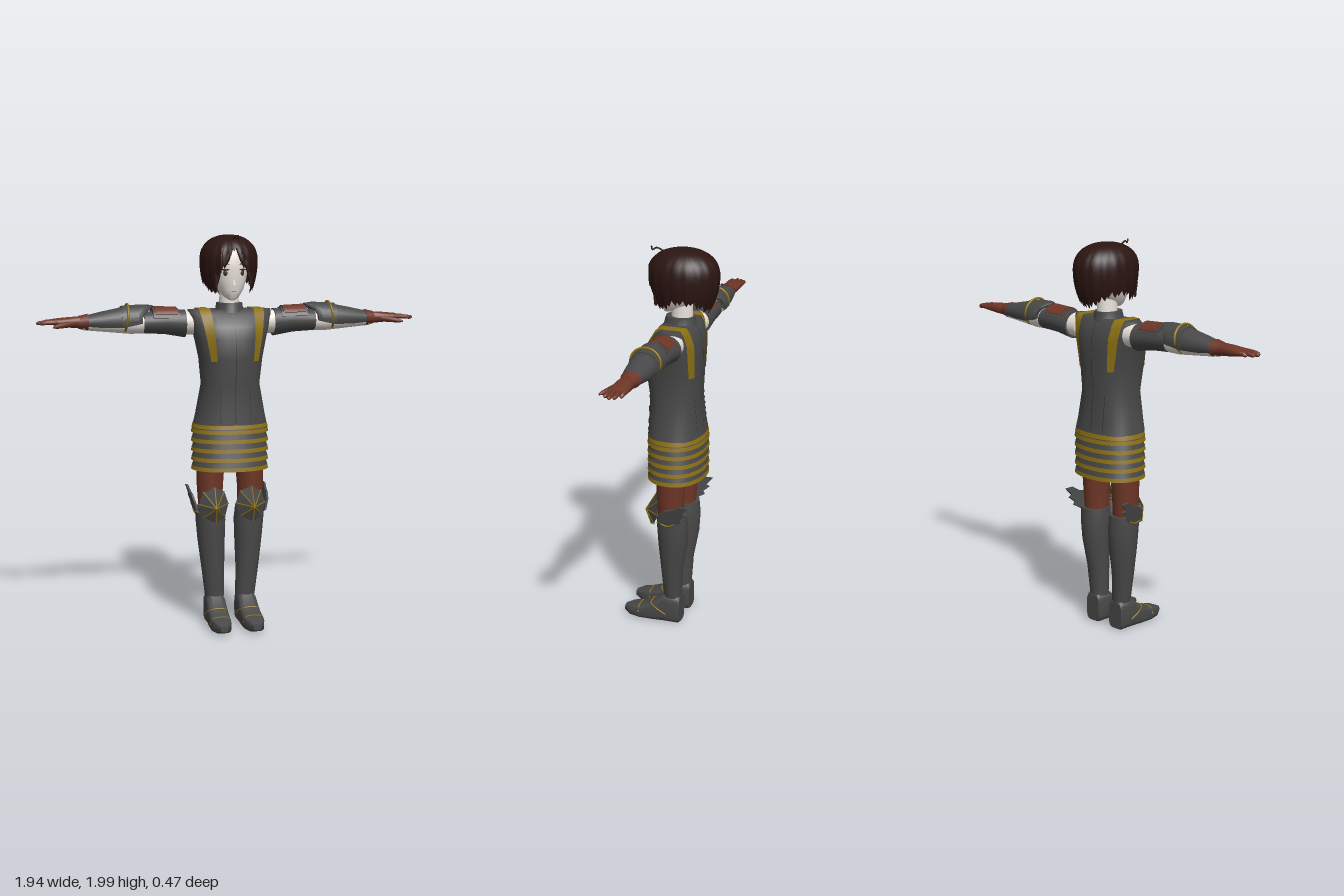
import * as THREE from 'three';
import { toCreasedNormals } from 'three/addons/utils/BufferGeometryUtils.js';

const mat = (color) => new THREE.MeshStandardMaterial({ color, side: THREE.DoubleSide });
const ARMOUR = mat(0x484848), SEAM = mat(0x2c2c2c), GOLD = mat(0x8c7012), LEATHER = mat(0x6e3627);
const SKIN = mat(0xe9e2da), HAIR = mat(0x2b1511), EYE = mat(0x4a2c24), LIP = mat(0xb08a80);
const V = (x, y, z) => new THREE.Vector3(x, y, z);
const rad = THREE.MathUtils.degToRad;

function mesh(name, geometry, material) {
  const m = new THREE.Mesh(geometry, material);
  m.name = name;
  return m;
}

// Skin a list of closed point rings, with optional end caps
function skin(rings, cap = true, crease = 0.7) {
  const n = rings[0].length, pos = [], idx = [];
  rings.forEach((r) => r.forEach((p) => pos.push(p.x, p.y, p.z)));
  for (let k = 0; k < rings.length - 1; k++) for (let i = 0; i < n; i++) {
    const a = k * n + i, b = k * n + (i + 1) % n;
    idx.push(a, a + n, b, b, a + n, b + n);
  }
  if (cap) [0, rings.length - 1].forEach((k) => {
    const c = rings[k].reduce((s, p) => s.add(p), V(0, 0, 0)).divideScalar(n), o = pos.length / 3;
    pos.push(c.x, c.y, c.z);
    for (let i = 0; i < n; i++) {
      const a = k * n + i, b = k * n + (i + 1) % n;
      idx.push(o, k ? b : a, k ? a : b);
    }
  });
  const g = new THREE.BufferGeometry();
  g.setAttribute('position', new THREE.Float32BufferAttribute(pos, 3));
  g.setIndex(idx);
  return toCreasedNormals(g, crease);
}

const place = { // (distance along axis, cosine side, sine side)
  y: (u, c, s) => V(c, u, s), x: (u, c, s) => V(u, s, c), z: (u, c, s) => V(s, c, u),
};
const pw = (v, n) => Math.sign(v) * Math.abs(v) ** (2 / n);

// Sections are [along, centre1, radius1, centre2, radius2]; y: x,z  x: z,y  z: y,x
function loft(axis, sections, { n = 2, seg = 24, cap = true } = {}) {
  return skin(sections.map(([u, c1, r1, c2, r2]) => Array.from({ length: seg }, (_, i) => {
    const t = i / seg * Math.PI * 2;
    return place[axis](u, c1 + r1 * pw(Math.cos(t), n), c2 + r2 * pw(Math.sin(t), n));
  })), cap);
}

// Curved plate over the top of an arm; sixth section value is its half angle in degrees
function plate(sections, thick = 0.008, seg = 14) {
  return skin(sections.map(([u, cz, rz, cy, ry, half]) => {
    const arc = (d) => Array.from({ length: seg + 1 }, (_, i) => {
      const t = rad(90 - half + 2 * half * i / seg);
      return V(u, cy + (ry - d) * Math.sin(t), cz + (rz - d) * Math.cos(t));
    });
    return [...arc(0), ...arc(thick).reverse()];
  }));
}

// Depth of a y-loft at a given height and x
function depth(sections, y, x, side, n) {
  let k = sections.findIndex((s) => s[0] >= y);
  k = k < 0 ? sections.length - 1 : Math.max(k, 1);
  const a = sections[k - 1], b = sections[k], f = (y - a[0]) / (b[0] - a[0]);
  const [, cx, rx, cz, rz] = a.map((v, i) => v + (b[i] - v) * f);
  return cz + side * rz * Math.max(0, 1 - Math.abs((x - cx) / rx) ** n) ** (1 / n);
}

// Thin band from pairs of edge points
function ribbon(pairs) {
  const pos = pairs.flatMap(([a, b]) => [...a.toArray(), ...b.toArray()]), idx = [];
  for (let i = 0; i < pairs.length - 1; i++) idx.push(2 * i, 2 * i + 1, 2 * i + 2, 2 * i + 1, 2 * i + 3, 2 * i + 2);
  const g = new THREE.BufferGeometry();
  g.setAttribute('position', new THREE.Float32BufferAttribute(pos, 3));
  g.setIndex(idx);
  g.computeVertexNormals();
  return g;
}

const tube = (points, r, seg = 16) => new THREE.TubeGeometry(new THREE.CatmullRomCurve3(points), seg, r, 6);

// Reflect a group across x = 0, keeping faces outward
function mirrored(group, name) {
  const out = new THREE.Group();
  out.name = name;
  group.children.forEach((m) => {
    const g = m.geometry.index ? m.geometry.toNonIndexed() : m.geometry.clone();
    g.scale(-1, 1, 1);
    for (const a of [g.attributes.position, g.attributes.normal]) for (let i = 0; i < a.count; i += 3) {
      const p = [a.getX(i + 1), a.getY(i + 1), a.getZ(i + 1)];
      a.setXYZ(i + 1, a.getX(i + 2), a.getY(i + 2), a.getZ(i + 2));
      a.setXYZ(i + 2, ...p);
    }
    out.add(mesh(m.name, g, m.material));
  });
  return out;
}

function makeBody() {
  const g = new THREE.Group();
  g.name = 'body';
  const torso = [[1.05, 0, .186, -.025, .14], [1.1, 0, .175, -.022, .134], [1.25, 0, .147, -.018, .127],
    [1.38, 0, .16, -.012, .139], [1.48, 0, .181, -.016, .136], [1.54, 0, .198, -.024, .124],
    [1.6, 0, .215, -.033, .092], [1.622, 0, .212, -.04, .065]];
  g.add(mesh('tunic', loft('y', torso, { n: 2.4, seg: 36 }), ARMOUR));
  g.add(mesh('collar', loft('y', [[1.59, 0, .085, -.035, .09], [1.62, 0, .07, -.035, .08], [1.655, 0, .065, -.037, .073]]), ARMOUR));
  g.add(mesh('neck', loft('y', [[1.6, 0, .05, -.045, .055], [1.76, 0, .045, -.045, .052]]), SKIN));

  // Gold straps run from the chest over each shoulder to the back
  for (const s of [1, -1]) {
    const pairs = [];
    const row = (y, side) => {
      const f = (y - 1.37) / 0.25, xi = .092 + .018 * f, xo = .12 + .045 * f;
      pairs.push([xi, xo].map((x) => V(s * x, y + (y > 1.61 ? .006 : 0), depth(torso, y, x, side, 2.4) + side * .005)));
    };
    const ys = [1.37, 1.42, 1.48, 1.51, 1.54, 1.57, 1.6, 1.622];
    ys.forEach((y) => row(y, 1));
    [...ys].reverse().forEach((y) => row(y, -1));
    g.add(mesh('shoulderStrap', ribbon(pairs), GOLD));
  }
  for (const side of [1, -1]) for (const x of [-.075, 0, .075]) {
    const pairs = [1.06, 1.1, 1.25, 1.38, 1.48, 1.54, 1.6].filter((y) => !x || y < 1.35)
      .map((y) => [-.0015, .0015].map((d) => V(x + d, y, depth(torso, y, x, side, 2.4) + side * .002)));
    g.add(mesh('seam', ribbon(pairs), SEAM));
  }

  // Layered skirt, each tier edged in gold
  const band = (y0, y1, r0, r1) => loft('y', [[y0, 0, r0, -.027, r0 * .75], [y1, 0, r1, -.027, r1 * .75]], { n: 2.2, seg: 36, cap: false });
  g.add(mesh('skirtBelt', band(1.03, 1.052, .194, .188), GOLD));
  for (let i = 0; i < 5; i++) {
    const y = .815 + i * .0475;
    g.add(mesh('skirtTier', band(y + .018, y + .058, .193, .181), ARMOUR));
    g.add(mesh('skirtTrim', band(y, y + .02, .197, .193), GOLD));
  }
  return g;
}

function makeHead() {
  const g = new THREE.Group();
  g.name = 'head';
  const face = [[1.67, 0, .014, .03, .016], [1.685, 0, .036, .01, .046], [1.72, 0, .062, -.012, .08], [1.77, 0, .08, -.025, .1],
    [1.83, 0, .092, -.035, .118], [1.9, 0, .095, -.04, .118], [1.96, 0, .06, -.045, .08]];
  g.add(mesh('face', loft('y', face, { n: 2.2, seg: 32 }), SKIN));
  const spot = (name, x, y, w, h, m) => {
    const e = mesh(name, new THREE.SphereGeometry(1, 14, 10), m);
    e.scale.set(w, h, .005);
    e.position.set(x, y, depth(face, y, x, 1, 2.2));
    e.rotation.y = x * 9;
    g.add(e);
  };
  for (const s of [1, -1]) {
    spot('iris', s * .043, 1.807, .011, .015, EYE);
    spot('eyelash', s * .044, 1.823, .02, .004, HAIR);
    spot('eyebrow', s * .044, 1.85, .02, .003, HAIR);
  }
  spot('mouth', 0, 1.715, .014, .003, LIP);
  const nose = mesh('nose', new THREE.ConeGeometry(.009, .035, 6), SKIN);
  nose.position.set(0, 1.765, depth(face, 1.765, 0, 1, 2.2));
  g.add(nose);

  // Hair cap: rings drop from the crown to a jagged hem that parts over the face
  const hem = [[0, 1.91], [.15, 1.9], [.42, 1.84], [.62, 1.78], [.78, 1.7], [1.1, 1.7], [1.5, 1.74], [2.1, 1.735], [2.7, 1.69], [3.15, 1.675]];
  const hemAt = (a) => {
    const k = Math.max(1, hem.findIndex((h) => h[0] >= a)), [p, q] = [hem[k - 1], hem[k]];
    return p[1] + (q[1] - p[1]) * (a - p[0]) / (q[0] - p[0]);
  };
  const N = 108, rows = 16, rings = [];
  for (let k = rows; k >= 0; k--) rings.push(Array.from({ length: N }, (_, i) => {
    const t = Math.PI / 2 - i / N * Math.PI * 2, a = Math.abs(Math.atan2(Math.sin(t), Math.cos(t)));
    const v = k / rows, jag = [0, .012, .03, .016, .006, .02][i % 6];
    const bottom = hemAt(a) + jag, y = bottom + (1.993 - bottom) * Math.cos(v * Math.PI / 2);
    const d = y - 1.865;
    let r = d > 0 ? (1 - Math.min(1, d / .128) ** 2.3) ** (1 / 2.2) : 1 - .3 * (d / .19) ** 2;
    r *= 1 + .016 * Math.cos(i / 6 * Math.PI * 2) * v;
    return V(.143 * r * Math.sin(t), y, -.053 + .178 * r * Math.cos(t));
  }));
  g.add(mesh('hair', skin(rings, false, .5), HAIR));

  // Loose fringe locks and a small stray curl
  for (const s of [1, -1]) for (const [x0, x1, y1, w] of [[.02, .05, 1.83, .016], [.045, .075, 1.8, .018], [.07, .09, 1.72, .018]]) {
    const lock = [0, .3, .6, .85, 1].map((f) => [y1 + (1.95 - y1) * f, s * (x1 + (x0 - x1) * f), .001 + w * Math.sin(Math.min(f * 2, 1) * 1.5),
      .1 - x1 * .45 + .02 * Math.sin(f * 3) - .025 * f, .008]);
    g.add(mesh('fringeLock', loft('y', lock, { seg: 8 }), HAIR));
  }
  g.add(mesh('strayCurl', tube([V(0, 1.97, .05), V(.005, 1.985, .085), V(.01, 1.975, .105), V(.012, 1.993, .11)], .004), HAIR));
  return g;
}

function makeArm() {
  const g = new THREE.Group();
  g.name = 'leftArm';
  const add = (name, geo, m) => g.add(mesh(name, geo, m));
  add('arm', loft('x', [[.17, -.045, .066, 1.556, .062], [.4, -.045, .058, 1.557, .05], [.5, -.045, .058, 1.56, .055], [.74, -.045, .038, 1.56, .032]]), SKIN);
  add('sleeve', loft('x', [[.228, -.045, .074, 1.553, .07], [.33, -.045, .068, 1.561, .06], [.44, -.045, .064, 1.56, .053]]), ARMOUR);
  add('shoulderPlateBacking', plate([[.262, -.045, .07, 1.565, .064, 72], [.395, -.045, .072, 1.565, .072, 72]], .015), ARMOUR);
  add('shoulderPlate', plate([[.272, -.045, .073, 1.567, .07, 58], [.385, -.045, .076, 1.567, .075, 58]], .012), LEATHER);
  add('elbowGuard', plate([[.39, -.045, .068, 1.57, .076, 6], [.43, -.045, .078, 1.57, .081, 55], [.47, -.045, .08, 1.57, .08, 100], [.55, -.045, .074, 1.572, .073, 110]]), ARMOUR);
  add('forearmGuard', plate([[.45, -.045, .074, 1.572, .07, 100], [.54, -.045, .071, 1.572, .068, 118], [.64, -.045, .061, 1.568, .052, 122], [.73, -.045, .046, 1.566, .034, 122]]), ARMOUR);
  const ring = new THREE.TorusGeometry(.073, .006, 8, 28).rotateY(Math.PI / 2).scale(1, .95, 1.02).rotateZ(.12);
  add('armRing', ring.translate(.525, 1.585, -.045), GOLD);
  // Gloved hand
  add('gloveCuff', loft('x', [[.715, -.045, .05, 1.567, .042], [.76, -.045, .038, 1.567, .032]], { seg: 16 }), LEATHER);
  add('palm', loft('x', [[.75, -.045, .036, 1.567, .03], [.81, -.045, .043, 1.568, .026], [.88, -.047, .046, 1.57, .017], [.895, -.047, .04, 1.57, .01]], { n: 2.5, seg: 16 }), LEATHER);
  [[-.081, .935], [-.058, .962], [-.035, .97], [-.012, .955]].forEach(([z, tip]) => {
    add('finger', loft('x', [[.865, z, .012, 1.571, .013], [.92, z, .011, 1.57, .011], [tip - .008, z, .009, 1.566, .009], [tip, z, .003, 1.565, .003]], { seg: 10 }), LEATHER);
  });
  add('thumb', loft('x', [[.785, -.022, .016, 1.562, .016], [.83, .004, .015, 1.558, .014], [.875, .026, .011, 1.553, .011], [.895, .036, .004, 1.55, .004]], { seg: 10 }), LEATHER);
  return g;
}

function makeLeg() {
  const g = new THREE.Group();
  g.name = 'leftLeg';
  const add = (name, geo, m) => g.add(mesh(name, geo, m));
  add('thigh', loft('y', [[.55, .1, .058, -.02, .062], [.72, .105, .066, -.02, .07], [1, .098, .08, -.025, .09]]), LEATHER);
  add('shinGuard', loft('y', [[.15, .08, .05, -.025, .046], [.3, .09, .059, -.023, .055], [.45, .097, .07, -.03, .075], [.55, .1, .076, -.03, .08], [.62, .104, .073, -.026, .077]]), ARMOUR);
  add('shoe', loft('z', [[-.072, .08, .07, .082, .044], [-.06, .082, .078, .082, .05], [.015, .082, .078, .082, .051], [.075, .056, .052, .083, .053],
    [.15, .042, .036, .085, .053], [.2, .04, .03, .085, .042], [.235, .04, .015, .085, .02]], { n: 4, seg: 28 }), ARMOUR);
  add('shoeTrim', tube([V(.028, .055, 0), V(.03, .085, .05), V(.05, .103, .085), V(.085, .108, .085), V(.118, .103, .085), V(.137, .085, .05), V(.135, .055, 0)], .004), GOLD);
  add('shoeTrim', tube([V(.032, .045, .15), V(.045, .074, .15), V(.085, .08, .15), V(.125, .074, .15), V(.139, .045, .15)], .0035), GOLD);

  // Faceted knee cop with gold ridges
  const apex = V(.098, .63, .115), rim = Array.from({ length: 8 }, (_, i) => {
    const t = i / 8 * Math.PI * 2, c = Math.cos(t), s = Math.sin(t);
    return V(.096 + .077 * c, .64 + .09 * s, .072 - .042 * Math.abs(c) - .015 * s);
  });
  const pts = rim.flatMap((p, i) => [apex, p, rim[(i + 1) % 8]]);
  const cop = new THREE.BufferGeometry().setFromPoints(pts);
  cop.computeVertexNormals();
  add('kneeCop', cop, ARMOUR);
  rim.forEach((p) => add('kneeRidge', new THREE.TubeGeometry(new THREE.LineCurve3(apex, p), 1, .0035, 5), GOLD));

  // Feathered wing on the outer side of the knee
  const w = [[-.02, .02], [-.015, .075], [.02, .105], [.06, .115], [.1, .14], [.145, .14], [.112, .1], [.132, .092], [.098, .062], [.108, .048], [.07, .025], [.03, 0]];
  const wing = new THREE.ExtrudeGeometry(new THREE.Shape(w.map(([a, b]) => new THREE.Vector2(a, b))), { depth: .01, bevelEnabled: false });
  add('kneeWing', wing.rotateY(Math.PI / 2).rotateZ(-.22).translate(.168, .58, 0), ARMOUR);
  add('wingTrim', tube([V(.172, .6, .03), V(.183, .597, 0), V(.182, .59, -.03), V(.184, .607, -.07)], .004), GOLD);
  return g;
}

export function createModel() {
  const model = new THREE.Group();
  model.name = 'armouredFigure';
  const arm = makeArm(), leg = makeLeg();
  model.add(makeBody(), makeHead(), arm, mirrored(arm, 'rightArm'), leg, mirrored(leg, 'rightLeg'));
  return model;
}
